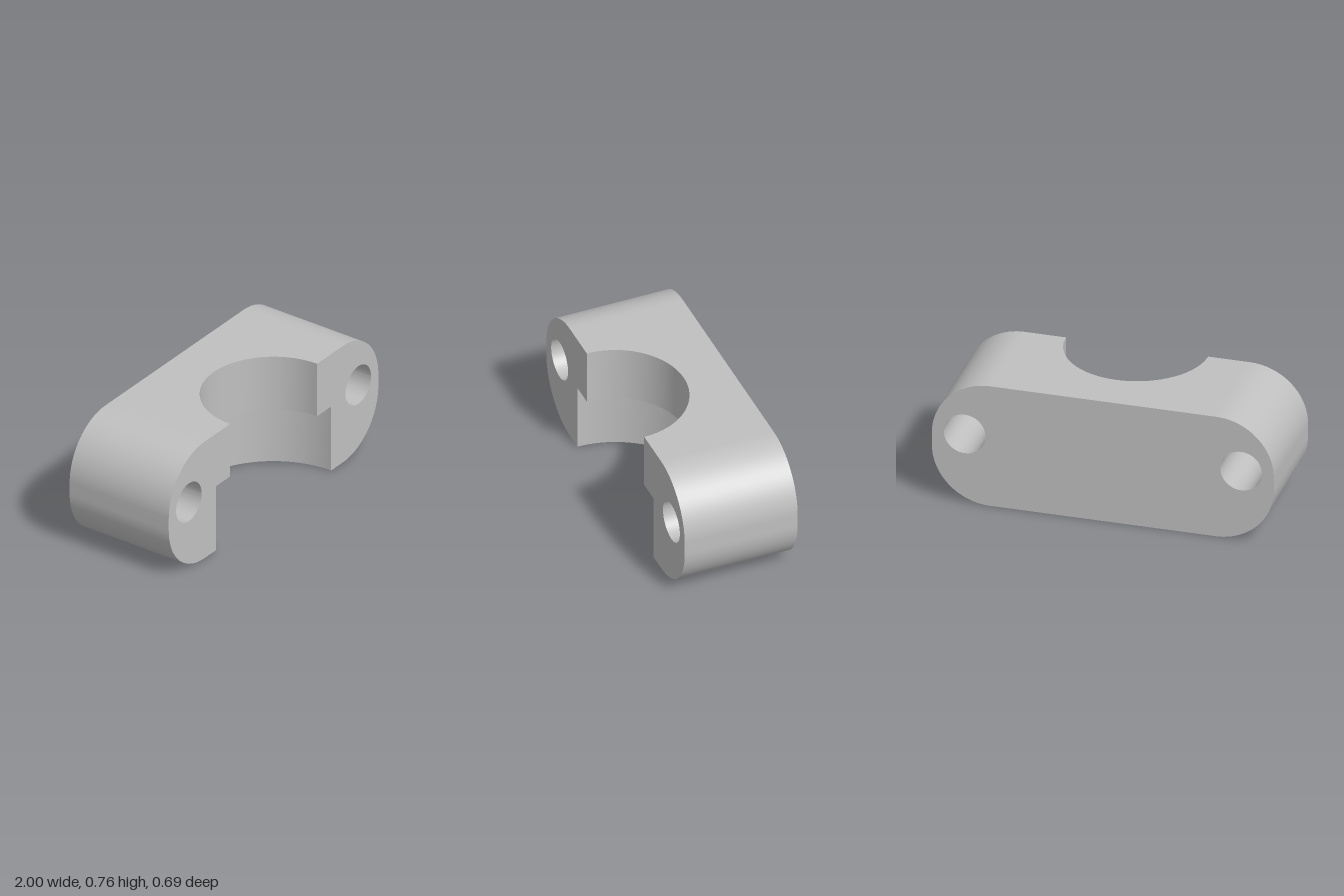
import * as THREE from 'three';

const H = 0.757;      // height
const D = 0.344;      // half depth
const C = 0.34;       // corner radius of the rounded ends
const F = 1 - C;      // half width of the flat top and bottom
const STEP = 0.416;   // height of the ledge between the two bores
const R_TOP = 0.415, R_LOW = 0.55;
const HOLE = { x: 0.808, y: 0.434, r: 0.122 };

// Points along an arc, ends included
function arc(cx, cy, r, from, to, n) {
  return Array.from({ length: n + 1 }, (_, i) => {
    const a = from + (to - from) * i / n;
    return new THREE.Vector2(cx + r * Math.cos(a), cy + r * Math.sin(a));
  });
}
const v = (x, y) => new THREE.Vector2(x, y);
const mirror = pts => pts.map(p => v(-p.x, p.y)).reverse();

// Wall swept along z from a path that keeps the solid on its left
function wall(pts, z0, z1) {
  const pos = [], idx = [];
  pts.forEach((p, i) => {
    pos.push(p.x, p.y, z0, p.x, p.y, z1);
    if (i) {
      const k = 2 * i;
      idx.push(k - 2, k, k + 1, k - 2, k + 1, k - 1);
    }
  });
  const g = new THREE.BufferGeometry();
  g.setAttribute('position', new THREE.Float32BufferAttribute(pos, 3));
  g.setIndex(idx);
  g.computeVertexNormals();
  return g;
}

function face(pts, holes = []) {
  const shape = new THREE.Shape(pts);
  shape.holes = holes.map(h => new THREE.Path(h));
  return new THREE.ShapeGeometry(shape);
}

export function createModel() {
  const group = new THREE.Group();
  group.name = 'clampHalf';
  const grey = new THREE.MeshStandardMaterial({ color: 0xc0c0c0 });
  grey.name = 'plain grey';
  const add = (name, geometry) => {
    const mesh = new THREE.Mesh(geometry, grey);
    mesh.name = name;
    group.add(mesh);
  };
  const upright = g => g.rotateX(-Math.PI / 2);          // plan to world
  const faceDown = g => upright(g).rotateZ(Math.PI);

  // Outlines seen from the front
  const endRight = [
    ...arc(F, C, C, -Math.PI / 2, 0, 24),
    ...arc(F, H - C, C, 0, Math.PI / 2, 24),
  ];
  const endLeft = mirror(endRight);
  const holeRight = arc(HOLE.x, HOLE.y, HOLE.r, 2 * Math.PI, 0, 48);
  const holeLeft = mirror(holeRight).reverse().map(p => p.clone()).reverse();
  const holeLeftCw = arc(-HOLE.x, HOLE.y, HOLE.r, 2 * Math.PI, 0, 48);

  // Back face
  add('backFace', face([...endRight, ...endLeft],
    [holeRight.slice(0, -1), holeLeft.slice(0, -1)])
    .rotateY(Math.PI).translate(0, 0, -D));

  // Front faces on each side of the stepped opening
  const jaw = [v(R_LOW, 0), ...endRight, v(R_TOP, H), v(R_TOP, STEP), v(R_LOW, STEP)];
  add('leftFrontFace', face(jaw, [holeRight.slice(0, -1)]).translate(0, 0, D));
  add('rightFrontFace', face(mirror(jaw), [holeLeftCw.slice(0, -1)]).translate(0, 0, D));

  // Rounded ends and bolt holes
  add('leftEnd', wall(endRight, -D, D));
  add('rightEnd', wall(endLeft, -D, D));
  add('leftBoltHole', wall(holeRight, -D, D));
  add('rightBoltHole', wall(holeLeftCw, -D, D));

  // Half-round bores around an upright axis in the front plane
  const topArc = arc(0, -D, R_TOP, Math.PI, 0, 64);
  const lowArc = arc(0, -D, R_LOW, Math.PI, 0, 64);
  add('upperBore', upright(wall(topArc, STEP, H)));
  add('lowerBore', upright(wall(lowArc, 0, STEP)));

  // Top, bottom and the ledge between the bores
  const plan = cut => face([v(-F, D), v(-F, -D), ...cut, v(F, -D), v(F, D)]);
  add('topFace', upright(plan(topArc)).translate(0, H, 0));
  add('bottomFace', faceDown(plan(lowArc)));
  add('boreLedge', faceDown(face([...lowArc, ...[...topArc].reverse()])).translate(0, STEP, 0));

  return group;
}
